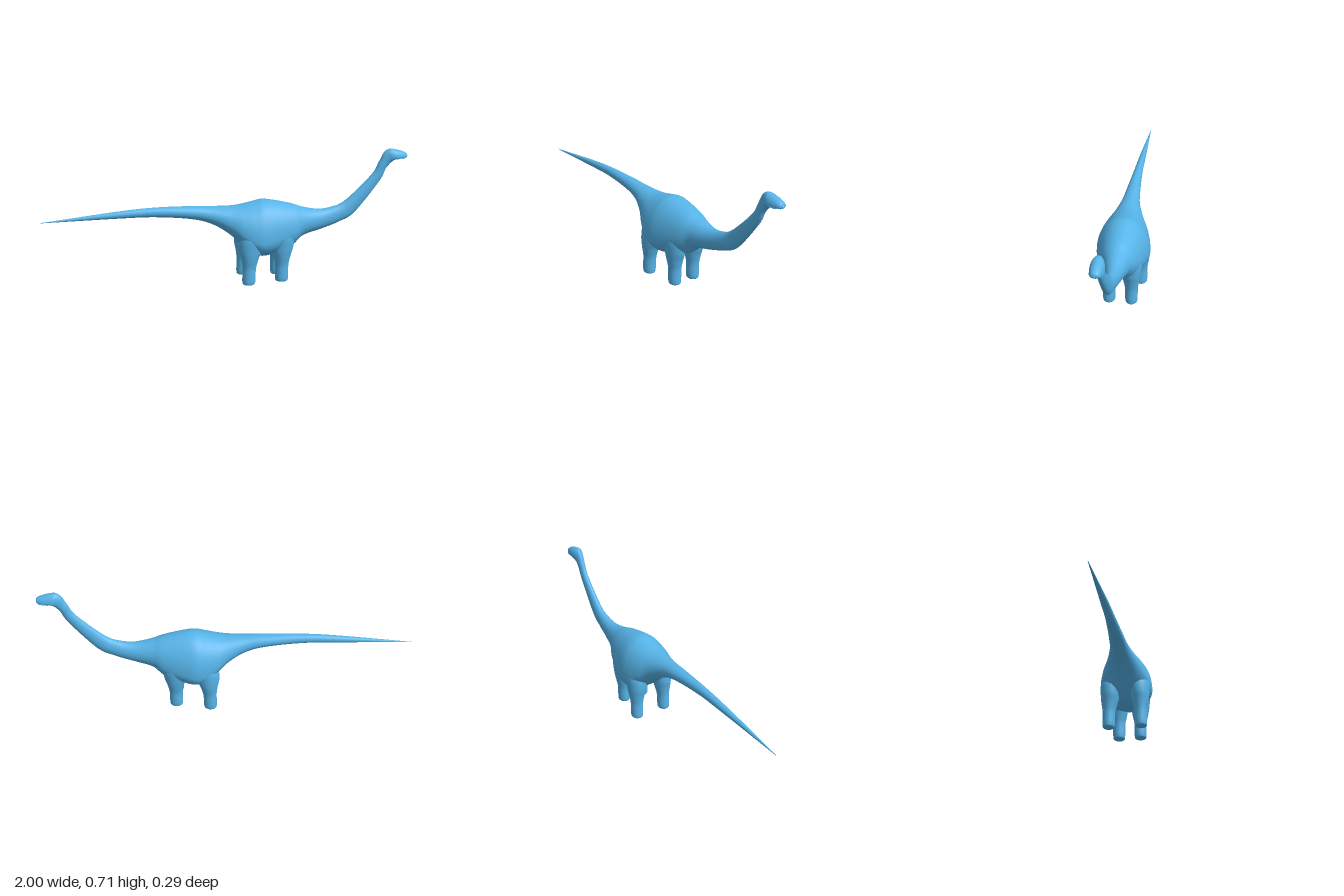
import * as THREE from 'three';

const skin = new THREE.MeshStandardMaterial({ color: 0x56b4e9 });

// Skin a surface over rings: point(t, angle) gives a Vector3, t runs 0..1
function loft(point, rows, cols) {
  const pos = [], idx = [];
  for (let i = 0; i <= rows; i++) {
    for (let j = 0; j < cols; j++) pos.push(...point(i / rows, (j / cols) * Math.PI * 2).toArray());
  }
  for (let i = 0; i < rows; i++) {
    for (let j = 0; j < cols; j++) {
      const k = (j + 1) % cols, a = i * cols, b = a + cols;
      idx.push(a + j, b + j, b + k, a + j, b + k, a + k);
    }
  }
  const g = new THREE.BufferGeometry();
  g.setAttribute('position', new THREE.Float32BufferAttribute(pos, 3));
  g.setIndex(idx);
  g.computeVertexNormals();
  return g;
}

const spline = (pts) => new THREE.CatmullRomCurve3(pts.map((p) => new THREE.Vector3(...p)), false, 'catmullrom', 0.5);

function add(group, name, geometry) {
  const m = new THREE.Mesh(geometry, skin);
  m.name = name;
  group.add(m);
  return m;
}

// Sections from tail tip to snout: top x, y, bottom x, y, half width, height of widest line (0..1)
const SECTIONS = [
  [-1, 0.384, -1, 0.382, 0.001, 0.5],
  [-0.6, 0.425, -0.6, 0.387, 0.018, 0.5],
  [-0.4, 0.437, -0.4, 0.385, 0.025, 0.5],
  [-0.2, 0.435, -0.2, 0.364, 0.039, 0.5],
  [-0.1, 0.43, -0.09, 0.33, 0.052, 0.48],
  [0, 0.427, 0, 0.272, 0.085, 0.42],
  [0.06, 0.431, 0.06, 0.215, 0.117, 0.36],
  [0.13, 0.445, 0.13, 0.16, 0.14, 0.32],
  [0.2, 0.455, 0.2, 0.142, 0.14, 0.34],
  [0.34, 0.426, 0.34, 0.185, 0.104, 0.42],
  [0.41, 0.402, 0.41, 0.24, 0.073, 0.48],
  [0.5, 0.385, 0.52, 0.272, 0.046, 0.5],
  [0.58, 0.394, 0.62, 0.306, 0.033, 0.5],
  [0.66, 0.43, 0.71, 0.357, 0.026, 0.5],
  [0.8, 0.565, 0.845, 0.525, 0.019, 0.5],
  [0.84, 0.635, 0.88, 0.595, 0.02, 0.48],
  [0.867, 0.688, 0.9, 0.622, 0.024, 0.4],
  [0.895, 0.708, 0.917, 0.64, 0.032, 0.3],
  [0.925, 0.706, 0.935, 0.649, 0.034, 0.25],
  [0.965, 0.696, 0.966, 0.65, 0.03, 0.27],
  [0.994, 0.683, 0.994, 0.655, 0.02, 0.42],
  [1, 0.67, 1, 0.666, 0.002, 0.5],
];

function bodyGeometry() {
  const top = spline(SECTIONS.map((s) => [s[0], s[1], 0]));
  const bottom = spline(SECTIONS.map((s) => [s[2], s[3], 0]));
  const girth = spline(SECTIONS.map((s) => [s[4], s[5], 0]));
  return loft((t, a) => {
    const g = girth.getPoint(t), s = Math.sin(a);
    const h = g.y + s * (s > 0 ? 1 - g.y : g.y);
    const p = bottom.getPoint(t).lerp(top.getPoint(t), h);
    p.z = g.x * Math.cos(a);
    return p;
  }, (SECTIONS.length - 1) * 7, 40);
}

// Leg profile from sole to hip: radius along x, height, radius along z
const LEG = spline([
  [0, 0.001, 0], [0.03, 0.003, 0.027], [0.036, 0.02, 0.033], [0.036, 0.06, 0.034], [0.038, 0.1, 0.035],
  [0.048, 0.15, 0.045], [0.062, 0.2, 0.052], [0.064, 0.27, 0.055], [0.03, 0.34, 0.03],
]);

// The leg's axis curves from the foot to the hip, each given as [x, z]
function legGeometry(foot, hip, side) {
  return loft((t, a) => {
    const p = LEG.getPoint(t), s = (p.y / 0.34) ** 2;
    return new THREE.Vector3(
      THREE.MathUtils.lerp(foot[0], hip[0], s) + p.x * Math.cos(a),
      p.y,
      side * THREE.MathUtils.lerp(foot[1], hip[1], s) + p.z * Math.sin(a),
    );
  }, 40, 28);
}

export function createModel() {
  const model = new THREE.Group();
  model.name = 'longNeckedDinosaur';
  add(model, 'bodyNeckAndTail', bodyGeometry());

  for (const side of [1, -1]) {
    const label = side > 0 ? 'Near' : 'Far';
    add(model, 'hindLeg' + label, legGeometry([0.096, 0.088], [0.13, 0.07], side));
    add(model, 'foreLeg' + label, legGeometry([0.286, 0.06], [0.288, 0.06], side));
    // Small eyes set into the sides of the head
    const eye = add(model, 'eye' + label, new THREE.SphereGeometry(0.004, 12, 8));
    eye.position.set(0.938, 0.686, side * 0.0225);
  }

  // Lip running round the snout
  const lip = spline([[0.93, 0.657, 0.032], [0.966, 0.657, 0.028], [0.988, 0.66, 0.019], [0.996, 0.661, 0],
    [0.988, 0.66, -0.019], [0.966, 0.657, -0.028], [0.93, 0.657, -0.032]]);
  add(model, 'lip', new THREE.TubeGeometry(lip, 40, 0.003, 8));
  return model;
}
